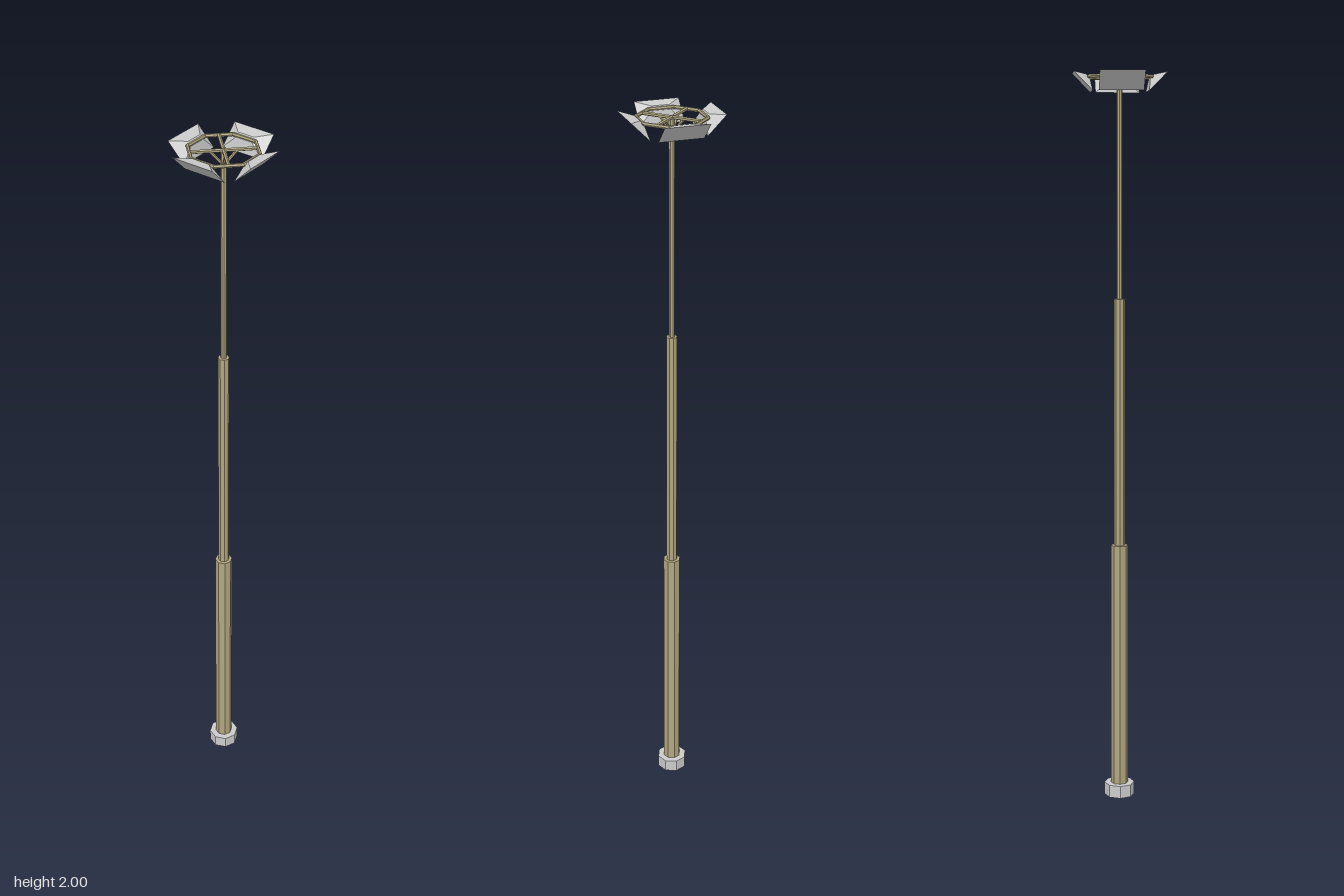
import * as THREE from 'three';

const grey = new THREE.MeshStandardMaterial({ color: 0xcccccc, flatShading: true });
const olive = new THREE.MeshStandardMaterial({ color: 0xb0a680, flatShading: true });

function add(parent, name, geometry, material) {
  const mesh = new THREE.Mesh(geometry, material);
  mesh.name = name;
  parent.add(mesh);
  return mesh;
}

// Upright octagonal section between two heights
function column(parent, name, radius, y0, y1, material) {
  const g = new THREE.CylinderGeometry(radius, radius, y1 - y0, 8);
  add(parent, name, g, material).position.y = (y0 + y1) / 2;
}

// Thin bar between two points
function bar(parent, name, a, b, radius) {
  const d = b.clone().sub(a);
  const m = add(parent, name, new THREE.CylinderGeometry(radius, radius, d.length(), 6), olive);
  m.position.copy(a).addScaledVector(d, 0.5);
  m.quaternion.setFromUnitVectors(new THREE.Vector3(0, 1, 0), d.normalize());
}

// Lamp housing: a box tapered towards its back, lens on +z
function lampGeometry() {
  const g = new THREE.BoxGeometry(0.119, 0.069, 0.02);
  const p = g.attributes.position;
  for (let i = 0; i < p.count; i++) {
    if (p.getZ(i) < 0) p.setXY(i, p.getX(i) * 0.4, p.getY(i) * 0.2);
  }
  g.translate(0, 0, -0.01);
  g.computeVertexNormals();
  return g;
}

export function createModel() {
  const model = new THREE.Group();
  model.name = 'floodlightMast';

  // Foot and telescopic pole
  column(model, 'base', 0.042, 0, 0.035, grey);
  column(model, 'lowerPole', 0.024, 0.035, 0.72, olive);
  column(model, 'middlePole', 0.015, 0.72, 1.4, olive);
  column(model, 'upperPole', 0.008, 1.4, 1.99, olive);

  // Octagonal ring carrying the lamps
  const ringY = 1.988;
  const ring = new THREE.TorusGeometry(0.09, 0.005, 6, 8);
  ring.rotateZ(Math.PI / 8).rotateX(Math.PI / 2);
  add(model, 'lampRing', ring, olive).position.y = ringY;

  const lamp = lampGeometry();
  for (let i = 0; i < 4; i++) {
    const side = new THREE.Group();
    side.name = 'headQuarter';
    side.rotation.y = i * Math.PI / 2;
    model.add(side);

    // Spoke with a diagonal brace down to the pole
    bar(side, 'spoke', new THREE.Vector3(0, ringY, 0), new THREE.Vector3(0, ringY, 0.083), 0.005);
    bar(side, 'brace', new THREE.Vector3(0, 1.953, 0.004), new THREE.Vector3(0, ringY, 0.034), 0.004);

    // Lamp on the diagonal, facing outwards and down
    const mount = new THREE.Group();
    mount.name = 'lampMount';
    mount.rotation.y = Math.PI / 4;
    side.add(mount);
    const head = add(mount, 'lamp', lamp, grey);
    head.position.set(0, 1.975, 0.099);
    head.rotation.x = Math.PI / 4;
  }
  return model;
}
